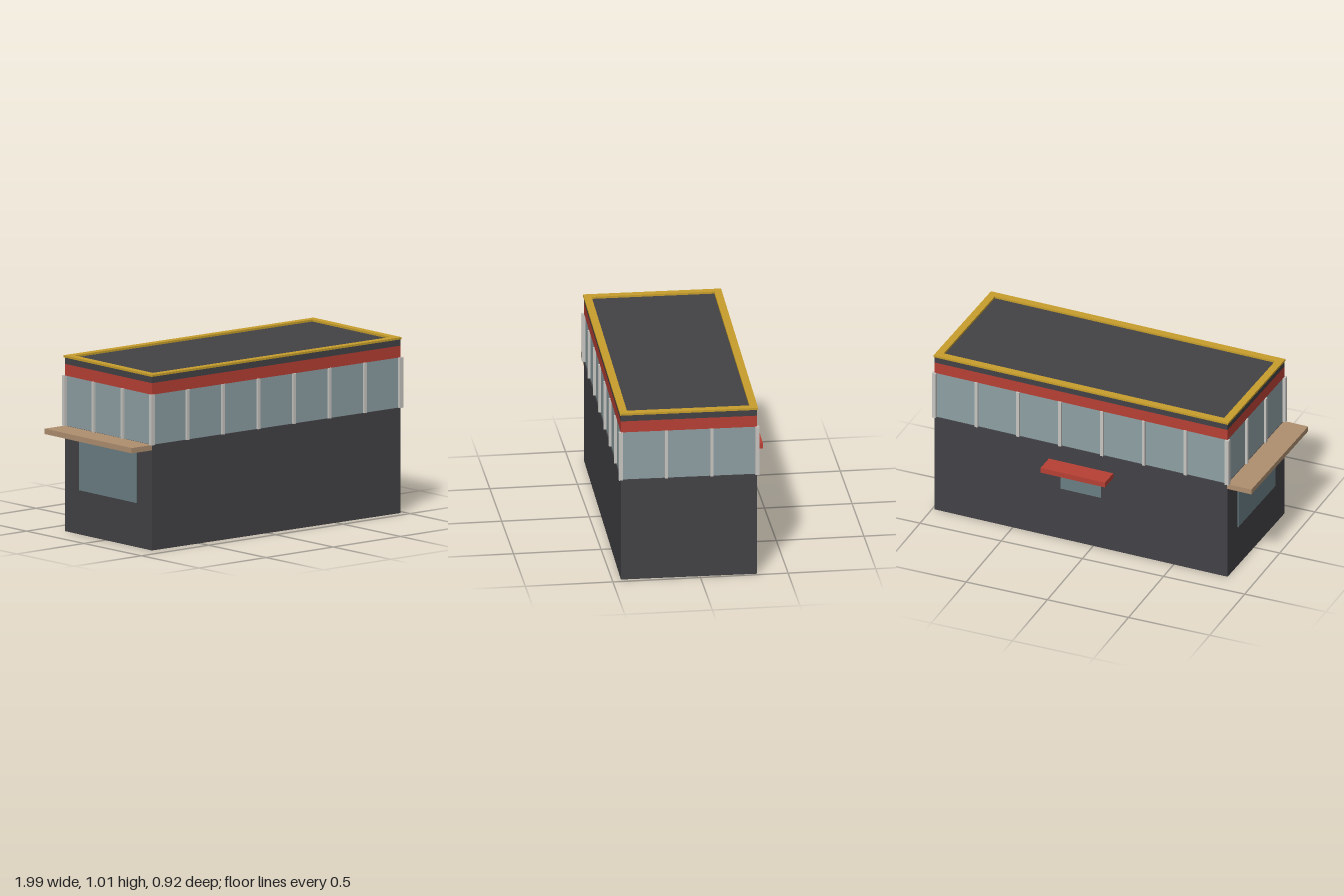
import * as THREE from 'three';

const mat = (name, color) => {
  const m = new THREE.MeshStandardMaterial({ color });
  m.name = name;
  return m;
};

export function createModel() {
  const charcoal = mat('charcoal wall', 0x434246);
  const red = mat('red paint', 0xb84035);
  const gold = mat('gold trim', 0xc9a02c);
  const glass = mat('pale glass', 0x8fa0a4);
  const darkGlass = mat('dark glass', 0x6b7f85);
  const metal = mat('light metal', 0xc8c7c3);
  const wood = mat('tan wood', 0xb09070);

  const L = 1.82, D = 0.776; // wall length and depth
  const building = new THREE.Group();
  building.name = 'building';

  // Box given by its centre in plan and its bottom and top heights
  const box = (name, material, w, d, y0, y1, x = 0, z = 0) => {
    const m = new THREE.Mesh(new THREE.BoxGeometry(w, y1 - y0, d), material);
    m.name = name;
    m.position.set(x, (y0 + y1) / 2, z);
    building.add(m);
    return m;
  };

  // Stacked storeys: wall, recessed glazing, red band, parapet
  box('lowerWall', charcoal, L, D, 0, 0.607);
  box('glazing', glass, L - 0.012, D - 0.012, 0.607, 0.896);
  box('fasciaBand', red, L, D, 0.896, 0.963);
  box('parapet', charcoal, L, D, 0.963, 1.0);

  // Gold frame round the roof
  const W = L + 0.01, H = D + 0.01, t = 0.044;
  const rect = (C, w, h) => new C([[-w, -h], [w, -h], [w, h], [-w, h]]
    .map(([x, y]) => new THREE.Vector2(x / 2, y / 2)));
  const frame = rect(THREE.Shape, W, H);
  frame.holes.push(rect(THREE.Path, W - 2 * t, H - 2 * t));
  const trim = new THREE.Mesh(
    new THREE.ExtrudeGeometry(frame, { depth: 0.012, bevelEnabled: false }).rotateX(-Math.PI / 2), gold);
  trim.name = 'roofTrim';
  trim.position.y = 1.0;
  building.add(trim);

  // Mullions along all four sides, with thicker corner posts
  const y0 = 0.607, y1 = 0.897, s = 0.018;
  for (const side of [-1, 1]) {
    for (let i = 1; i < 7; i++) box('mullion', metal, s, s, y0, y1, -L / 2 + (i * L) / 7, side * D / 2);
    for (let i = 1; i < 3; i++) box('mullion', metal, s, s, y0, y1, side * L / 2, -D / 2 + (i * D) / 3);
    for (const end of [-1, 1]) box('cornerPost', metal, 0.024, 0.024, y0, y1, side * L / 2, end * D / 2);
  }

  // Right end: serving window under a wooden canopy
  box('sideWindow', darkGlass, 0.008, 0.51, 0.255, 0.56, -L / 2 - 0.002);
  box('sideCanopy', wood, 0.15, D, 0.576, 0.607, -L / 2 - 0.073);

  // Back: small window under a red awning
  box('backWindow', darkGlass, 0.25, 0.008, 0.33, 0.456, 0, -D / 2 - 0.002);
  box('backAwning', red, 0.4, 0.12, 0.475, 0.506, 0, -D / 2 - 0.055);

  // The building stands slightly turned
  building.rotation.y = -0.0195;
  building.position.set(0.068, 0, 0.045);

  const model = new THREE.Group();
  model.name = 'pavilion';
  model.add(building);
  return model;
}
